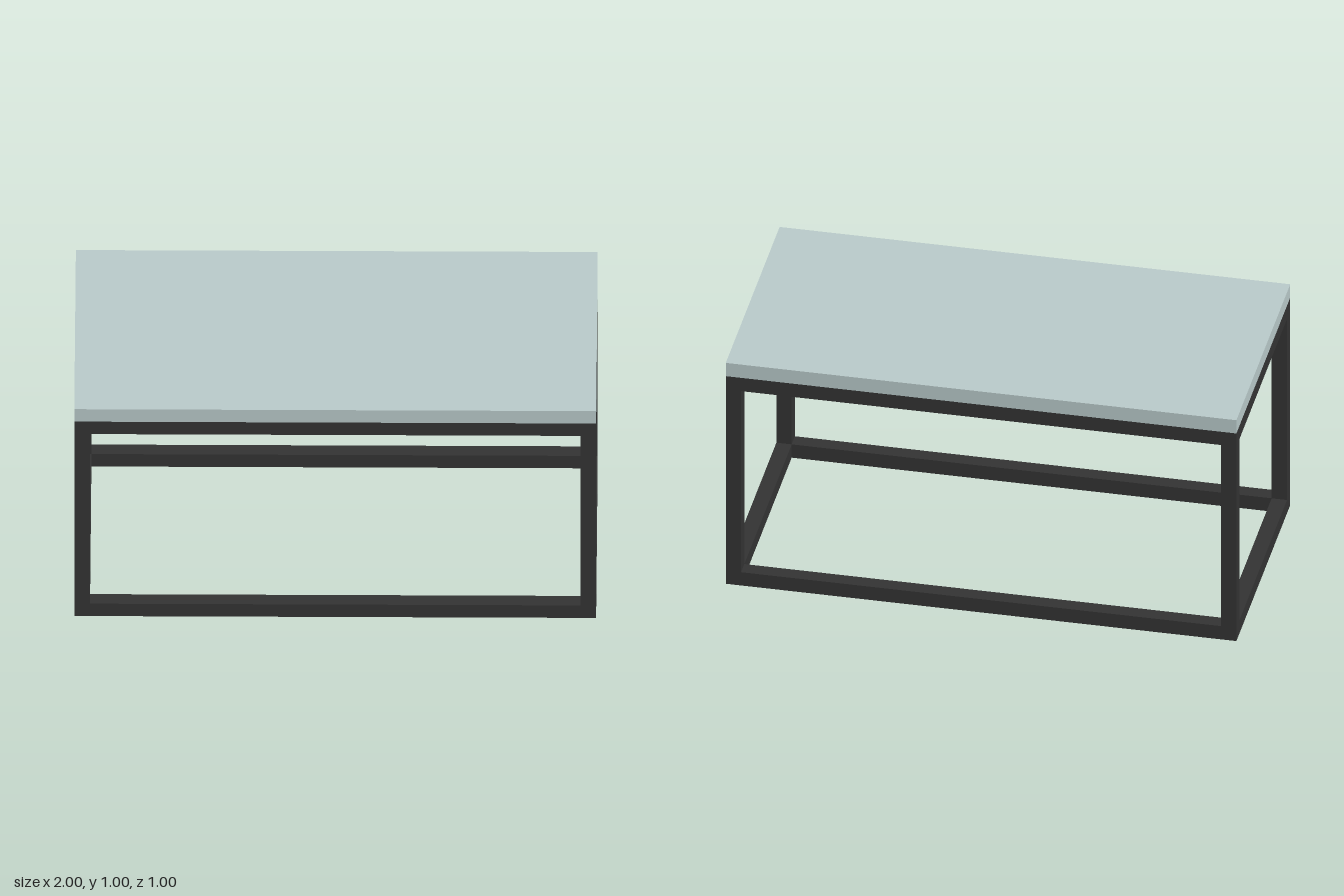
import * as THREE from 'three';

export function createModel() {
  const group = new THREE.Group();
  group.name = 'table';
  const frameMaterial = new THREE.MeshStandardMaterial({ color: 0x333333 });
  const topMaterial = new THREE.MeshStandardMaterial({ color: 0xb8c9c9 });

  const W = 2, D = 1, H = 1; // overall size
  const T = 0.06; // bar and slab thickness
  const frameH = H - T;

  function addBox(name, size, position, material, parent) {
    const mesh = new THREE.Mesh(new THREE.BoxGeometry(...size), material);
    mesh.name = name;
    mesh.position.set(...position);
    parent.add(mesh);
  }

  // Table top
  addBox('tableTop', [W, T, D], [0, H - T / 2, 0], topMaterial, group);

  // Open box frame of square bars
  const frame = new THREE.Group();
  frame.name = 'frame';
  group.add(frame);
  const x = (W - T) / 2, z = (D - T) / 2;

  // Corner legs
  for (const sx of [1, -1]) {
    for (const sz of [1, -1]) {
      const name = (sz > 0 ? 'front' : 'back') + (sx > 0 ? 'Left' : 'Right') + 'Leg';
      addBox(name, [T, frameH, T], [sx * x, frameH / 2, sz * z], frameMaterial, frame);
    }
  }

  // Rails between the legs, at floor level and under the top
  for (const [level, y] of [['lower', T / 2], ['upper', frameH - T / 2]]) {
    for (const s of [1, -1]) {
      addBox(level + (s > 0 ? 'Front' : 'Back') + 'Rail', [W - 2 * T, T, T], [0, y, s * z], frameMaterial, frame);
      addBox(level + (s > 0 ? 'Left' : 'Right') + 'Rail', [T, T, D - 2 * T], [s * x, y, 0], frameMaterial, frame);
    }
  }

  return group;
}
